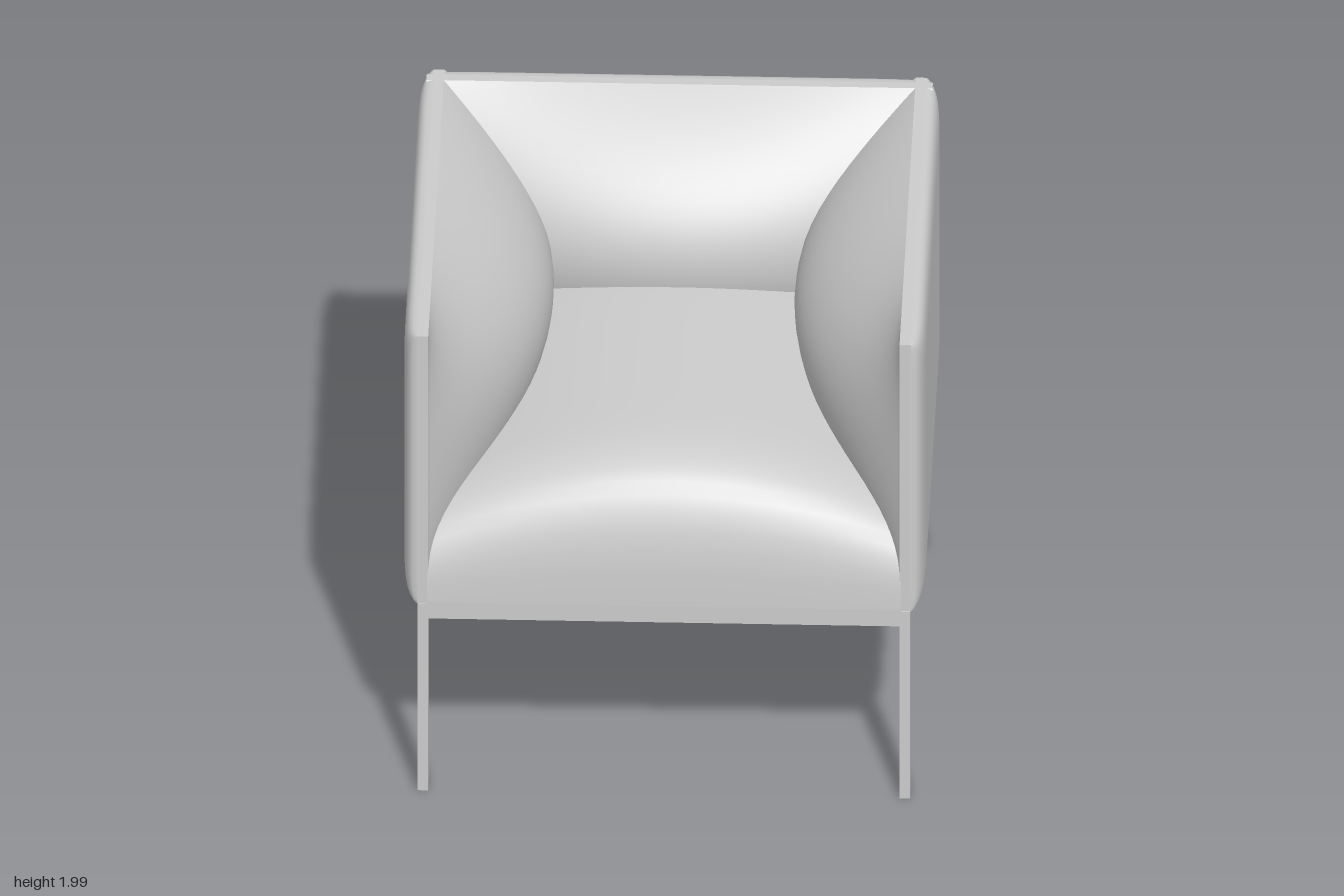
import * as THREE from 'three';

const upholstery = new THREE.MeshStandardMaterial({ color: 0xcccccc });
upholstery.name = 'light grey';

// Fullness of a padded surface: flat in the middle, falling steeply at the edge
const edge = (s, power) => Math.pow(Math.max(0, 1 - Math.pow(Math.abs(s), power)), 0.4);
const shellBulge = (u, v) => edge(u, 16) * edge(v, 16);

// Vertical swell of the arm and back cushions
const swell = (y) => Math.max(0, 1 - ((y - 1.45) / (y > 1.45 ? 0.54 : 0.63)) ** 2);
const heightAt = (v) => 1.403 + 0.587 * v;

// Cushion grid; place(u, v, inner) gives the position, with u and v in -1..1
function pad(name, place) {
  const geo = new THREE.BoxGeometry(2, 2, 2, 36, 36, 1);
  const pos = geo.attributes.position;
  for (let i = 0; i < pos.count; i++) {
    const u = Math.sin(pos.getX(i) * Math.PI / 2);
    const v = Math.sin(pos.getY(i) * Math.PI / 2);
    pos.setXYZ(i, ...place(u, v, pos.getZ(i) > 0));
  }
  geo.computeVertexNormals();
  const mesh = new THREE.Mesh(geo, upholstery);
  mesh.name = name;
  return mesh;
}

// Arm: slim outer shell and a deep inner pillow
function arm(name, side) {
  return pad(name, (u, v, inner) => {
    const z = 0.01 + side * u * 0.945;
    const y = heightAt(v);
    const depth = 0.43 * swell(y) * Math.max(0, 1 - ((z + 0.25) / 1.2) ** 2);
    const x = inner ? 0.88 - depth : 0.92 + 0.055 * shellBulge(u, v);
    return [side * x, y, z];
  });
}

// Side frame: rail and two tapered legs in one profile (z, y)
function sideFrame() {
  const s = new THREE.Shape();
  s.moveTo(0.96, 0);
  s.lineTo(0.96, 0.82);
  s.lineTo(-0.905, 0.82);
  s.lineTo(-0.905, 0);
  s.lineTo(-0.815, 0);
  s.lineTo(-0.78, 0.69);
  s.quadraticCurveTo(-0.775, 0.75, -0.71, 0.75);
  s.lineTo(0.77, 0.75);
  s.quadraticCurveTo(0.835, 0.75, 0.838, 0.69);
  s.lineTo(0.872, 0);
  s.closePath();
  return new THREE.ExtrudeGeometry(s, { depth: 0.04, bevelEnabled: false, curveSegments: 8 });
}

export function createModel() {
  const chair = new THREE.Group();
  chair.name = 'armchair';

  // Cushions
  chair.add(arm('leftArm', 1), arm('rightArm', -1));
  chair.add(pad('backrest', (u, v, inner) => {
    const x = u * 0.945;
    const y = heightAt(v);
    const depth = 0.46 * swell(y) * (1 - (x / 1.28) ** 2);
    return [x, y, inner ? -0.86 + depth : -0.9 - 0.068 * shellBulge(u, v)];
  }));
  chair.add(pad('seatCushion', (u, v, inner) => {
    const rise = 0.34 + 0.21 * (1 - u * u);
    const y = inner ? 0.83 + rise * edge(v, 8) : 0.815;
    return [u * 0.885, y, 0.04 - v * 0.925];
  }));

  // Legs and side rails
  const frameGeo = sideFrame();
  for (const [name, x] of [['leftFrame', 0.92], ['rightFrame', -0.88]]) {
    const frame = new THREE.Mesh(frameGeo, upholstery);
    frame.name = name;
    frame.rotation.y = -Math.PI / 2;
    frame.position.x = x;
    chair.add(frame);
  }

  // Cross rails and the panel under the seat
  const box = (name, w, h, d, y, z) => {
    const mesh = new THREE.Mesh(new THREE.BoxGeometry(w, h, d), upholstery);
    mesh.name = name;
    mesh.position.set(0, y, z);
    chair.add(mesh);
  };
  box('frontRail', 1.78, 0.065, 0.04, 0.785, 0.935);
  box('backRail', 1.78, 0.065, 0.04, 0.785, -0.885);
  box('seatBase', 1.78, 0.03, 1.8, 0.805, 0.02);

  return chair;
}
